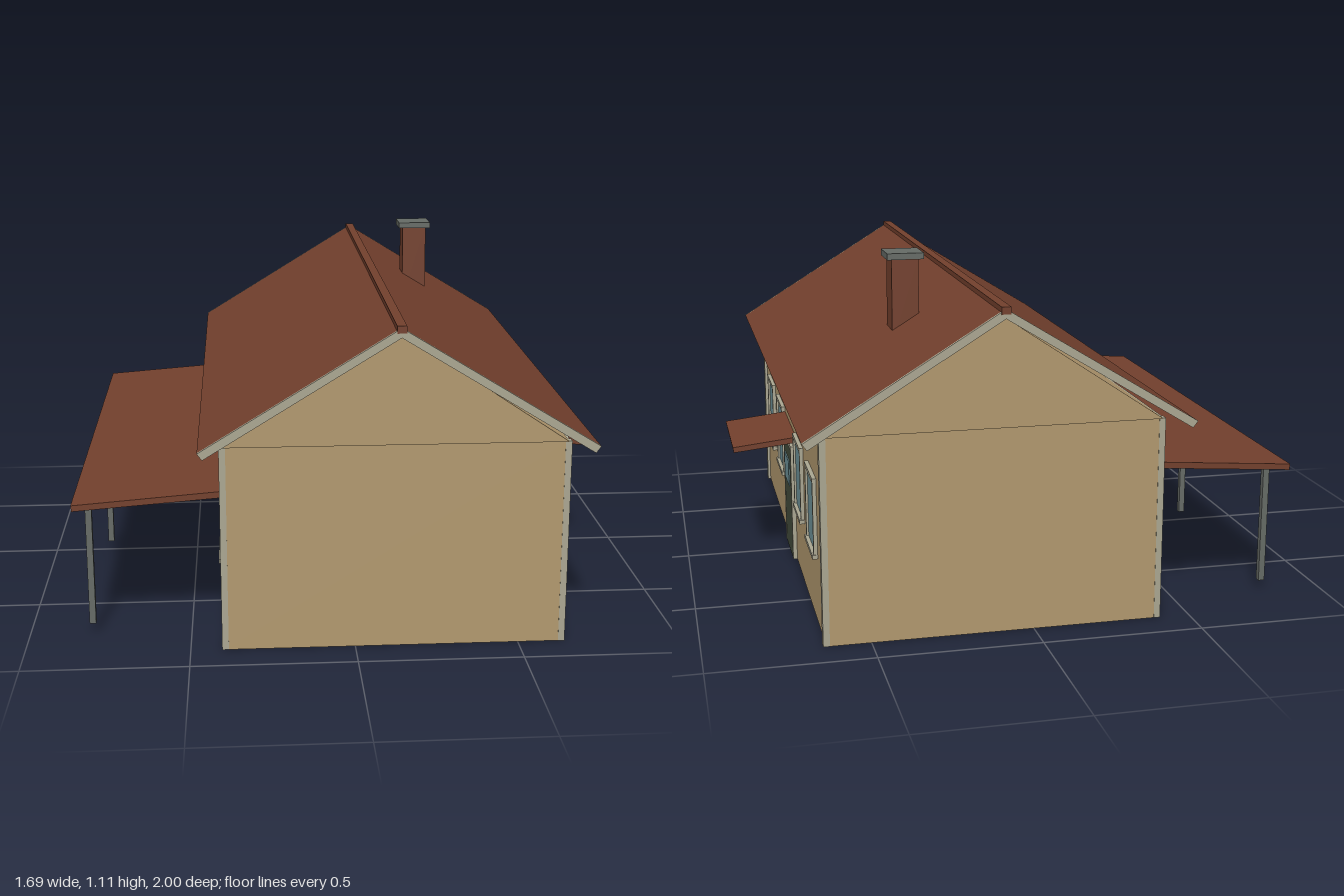
import * as THREE from 'three';

const mat = (name, color) => {
  const m = new THREE.MeshStandardMaterial({ color });
  m.name = name;
  return m;
};

export function createModel() {
  const wall = mat('ochre wall', 0xb2996f);
  const roof = mat('red brown roof', 0x73402d);
  const trim = mat('pale trim', 0xaba792);
  const glass = mat('blue glass', 0x6f949b);
  const metal = mat('grey metal', 0x666b66);
  const green = mat('dark green door', 0x434b3b);

  const house = new THREE.Group();
  house.name = 'house';
  const CX = 0.12; // ridge line in x
  const HALF = 0.515; // half width of the walls

  // Box given by its minimum and maximum corners
  const box = (parent, name, m, x0, x1, y0, y1, z0, z1) => {
    const mesh = new THREE.Mesh(new THREE.BoxGeometry(x1 - x0, y1 - y0, z1 - z0), m);
    mesh.position.set((x0 + x1) / 2, (y0 + y1) / 2, (z0 + z1) / 2);
    mesh.name = name;
    parent.add(mesh);
  };
  // Outline in x and y, extruded from z0 to z1
  const prism = (name, m, pts, z0, z1) => {
    const shape = new THREE.Shape(pts.map(([x, y]) => new THREE.Vector2(x, y)));
    const geo = new THREE.ExtrudeGeometry(shape, { depth: z1 - z0, bevelEnabled: false });
    geo.translate(0, 0, z0);
    const mesh = new THREE.Mesh(geo, m);
    mesh.name = name;
    house.add(mesh);
  };

  // Walls and the slightly overhanging gable
  box(house, 'walls', wall, CX - HALF, CX + HALF, 0, 0.64, -0.888, 0.888);
  prism('gable', wall, [[CX - HALF, 0.64], [CX + HALF, 0.64], [CX, 0.984]], -0.896, 0.896);

  // Pitched roof with barge boards at both ends
  for (const s of [-1, 1]) {
    const section = [[CX, 0.985], [CX + s * 0.57, 0.635], [CX + s * 0.585, 0.655], [CX, 1.013]];
    prism('roofSlope', roof, section, -0.988, 0.988);
    prism('bargeBoardFront', trim, section, 0.988, 0.998);
    prism('bargeBoardBack', trim, section, -0.998, -0.988);
  }
  box(house, 'ridgeCap', roof, CX - 0.014, CX + 0.014, 0.998, 1.02, -1, 1);

  // Chimney
  box(house, 'chimney', roof, 0.275, 0.36, 0.82, 1.09, -0.5, -0.405);
  box(house, 'chimneyCap', metal, 0.26, 0.375, 1.088, 1.108, -0.51, -0.395);

  // One long side, built facing +x with the wall face at x = 0
  const makeSide = (name) => {
    const side = new THREE.Group();
    side.name = name;
    for (const s of [-1, 1]) {
      const c = s * 0.8755;
      box(side, 'cornerBoard', trim, -0.01, 0.01, 0, 0.64, c - 0.0135, c + 0.0135);
    }
    box(side, 'eaveBoard', trim, -0.005, 0.008, 0.622, 0.638, -0.862, 0.862);

    for (const z of [-0.62, -0.28, 0.28, 0.62]) {
      const w = new THREE.Group();
      w.name = 'window';
      w.position.z = z;
      box(w, 'pane', glass, -0.005, 0.005, 0.225, 0.46, -0.09, 0.09);
      for (const s of [-1, 1])
        box(w, 'windowJamb', trim, -0.005, 0.012, 0.225, 0.458, s * 0.0925 - 0.0065, s * 0.0925 + 0.0065);
      box(w, 'windowHead', trim, -0.005, 0.013, 0.456, 0.469, -0.1, 0.1);
      box(w, 'windowSill', trim, -0.005, 0.017, 0.215, 0.228, -0.102, 0.102);
      side.add(w);
    }

    const door = new THREE.Group();
    door.name = 'door';
    box(door, 'doorLeaf', green, -0.005, 0.013, 0, 0.387, -0.102, 0.102);
    box(door, 'doorPane', glass, 0.011, 0.017, 0.25, 0.338, -0.066, 0.066);
    for (const s of [-1, 1])
      box(door, 'doorJamb', trim, -0.005, 0.014, 0, 0.39, s * 0.108 - 0.0065, s * 0.108 + 0.0065);
    box(door, 'doorHead', trim, -0.005, 0.014, 0.387, 0.402, -0.1145, 0.1145);
    side.add(door);
    house.add(side);
    return side;
  };
  makeSide('leftSide').position.x = CX + HALF;
  const right = makeSide('rightSide');
  right.position.x = CX - HALF;
  right.rotation.y = Math.PI;

  // Small sloping canopy over the left door
  prism('doorCanopy', roof, [[0.63, 0.434], [0.842, 0.411], [0.845, 0.429], [0.63, 0.453]], -0.178, 0.178);

  // Long veranda roof on three posts
  prism('verandaRoof', roof, [[-0.847, 0.428], [-0.39, 0.463], [-0.39, 0.483], [-0.849, 0.447]], -0.82, 0.82);
  for (const z of [-0.73, 0, 0.73])
    box(house, 'verandaPost', metal, -0.816, -0.796, 0.033, 0.435, z - 0.01, z + 0.01);

  // Extrusion outlines on the mirrored side are normalised by the shape itself
  return house;
}
